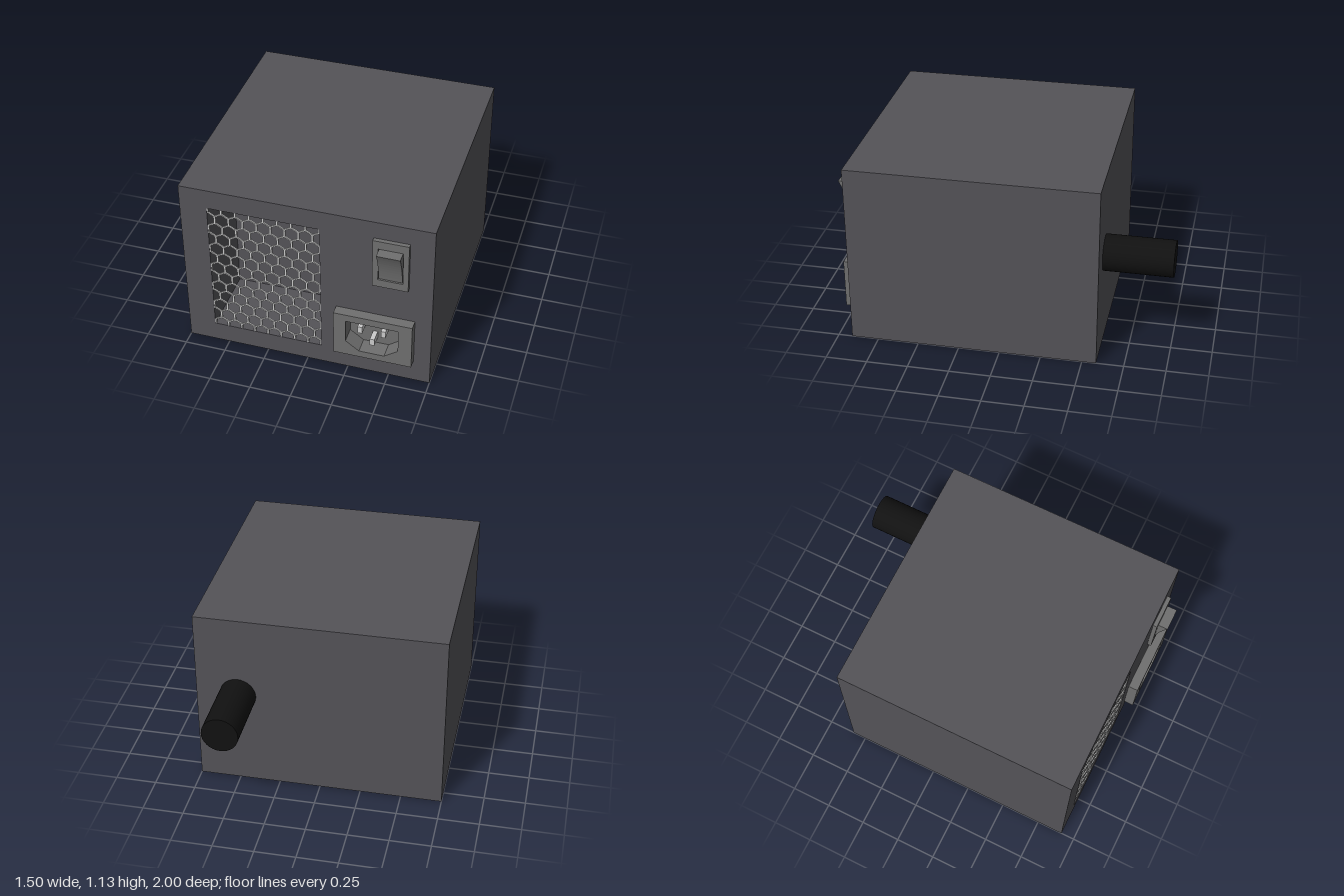
import * as THREE from 'three';

const mat = (color) => new THREE.MeshStandardMaterial({ color });
const caseMat = mat(0x545358), plateMat = mat(0x6f6f6f), metalMat = mat(0xcccccc), cableMat = mat(0x111111);

const FRONT = 0.915, BACK = -0.585, POCKET = 0.49; // z of case front, case back and vent pocket end
const vent = { x0: -0.585, x1: 0.085, y0: 0.125, y1: 1.005 };

const poly = (pts, Type = THREE.Shape) => new Type(pts.map(([x, y]) => new THREE.Vector2(x, y)));
const rect = (x0, x1, y0, y1) => [[x0, y0], [x1, y0], [x1, y1], [x0, y1]];

// Flat panel with openings, extruded from z0 to z1
function panel(outline, holes, z0, z1) {
  const shape = poly(outline);
  holes.forEach((h) => shape.holes.push(poly([...h].reverse(), THREE.Path)));
  const geo = new THREE.ExtrudeGeometry(shape, { depth: z1 - z0, bevelEnabled: false });
  return geo.translate(0, 0, z0);
}

const box = (x0, x1, y0, y1, z0, z1) => new THREE.BoxGeometry(x1 - x0, y1 - y0, z1 - z0)
  .translate((x0 + x1) / 2, (y0 + y1) / 2, (z0 + z1) / 2);

// Clip a segment to the vent rectangle; null when outside
function clip([ax, ay], [bx, by]) {
  let t0 = 0, t1 = 1;
  const dx = bx - ax, dy = by - ay;
  for (const [p, q] of [[-dx, ax - vent.x0], [dx, vent.x1 - ax], [-dy, ay - vent.y0], [dy, vent.y1 - ay]]) {
    if (Math.abs(p) < 1e-9) { if (q < -1e-6) return null; }
    else if (p < 0) t0 = Math.max(t0, q / p);
    else t1 = Math.min(t1, q / p);
  }
  if (t1 - t0 < 1e-3) return null;
  return [[ax + dx * t0, ay + dy * t0], [ax + dx * t1, ay + dy * t1]];
}

// Honeycomb of thin bars: each upright bar carries two slanted arms at its top
function honeycomb() {
  const grille = new THREE.Group();
  grille.name = 'ventGrille';
  const pitch = 0.0835, side = pitch / Math.sqrt(3), row = side * 1.5;
  const cx = (vent.x0 + vent.x1) / 2, cy = (vent.y0 + vent.y1) / 2;
  const addBar = (a, b, width) => {
    const seg = clip(a, b);
    if (!seg) return;
    const [[x0, y0], [x1, y1]] = seg;
    const bar = new THREE.Mesh(new THREE.BoxGeometry(Math.hypot(x1 - x0, y1 - y0) + 0.003, width, 0.01), metalMat);
    bar.position.set((x0 + x1) / 2, (y0 + y1) / 2, FRONT - 0.007);
    bar.rotation.z = Math.atan2(y1 - y0, x1 - x0);
    bar.name = 'grilleBar';
    grille.add(bar);
  };
  for (let j = -7; j <= 7; j++) {
    for (let i = -5; i <= 5; i++) {
      const x = cx + (i + (Math.abs(j) % 2) / 2) * pitch, y = cy + j * row;
      const top = [x, y + side / 2];
      addBar([x, y - side / 2], top, 0.012);
      addBar(top, [x - pitch / 2, y + side], 0.008);
      addBar(top, [x + pitch / 2, y + side], 0.008);
    }
  }
  return grille;
}

export function createModel() {
  const model = new THREE.Group();
  model.name = 'powerSupply';
  const add = (name, geo, material, parent = model) => {
    const mesh = new THREE.Mesh(geo, material);
    mesh.name = name;
    parent.add(mesh);
    return mesh;
  };

  // Case: pocketed front section and solid rear section
  add('caseFront', panel(rect(-0.75, 0.75, 0, 1.13), [
    rect(vent.x0, vent.x1, vent.y0, vent.y1),
    rect(0.2, 0.63, 0.17, 0.44),
    rect(0.42, 0.59, 0.72, 1.0),
  ], POCKET, FRONT), caseMat);
  add('caseRear', box(-0.75, 0.75, 0, 1.13, BACK, POCKET), caseMat);
  model.add(honeycomb());

  // Power inlet with chamfered recess and three pins
  const inlet = new THREE.Group();
  inlet.name = 'powerInlet';
  model.add(inlet);
  const recess = [[0.335, 0.2], [0.487, 0.2], [0.568, 0.26], [0.568, 0.413], [0.253, 0.413], [0.253, 0.26]];
  add('inletPlate', panel(rect(0.18, 0.65, 0.155, 0.46), [recess], 0.875, 0.975), plateMat, inlet);
  add('inletFloor', box(0.21, 0.62, 0.18, 0.43, 0.86, 0.875), plateMat, inlet);
  for (const [x, y] of [[0.333, 0.342], [0.473, 0.342], [0.407, 0.265]]) {
    add('inletPin', box(x - 0.014, x + 0.014, y - 0.023, y + 0.023, 0.87, 0.95), metalMat, inlet);
  }

  // Rocker switch: framed plate with a concave rocker
  const power = new THREE.Group();
  power.name = 'powerSwitch';
  model.add(power);
  add('switchPlate', panel(rect(0.4, 0.61, 0.695, 1.02), [rect(0.433, 0.578, 0.745, 0.967)], 0.9, 0.94), plateMat, power);
  add('switchFloor', box(0.425, 0.585, 0.725, 0.99, 0.885, 0.9), plateMat, power);
  // Profile drawn as (z, y), then turned so its first axis points forward
  const profile = new THREE.Shape();
  profile.moveTo(0.89, 0.75);
  profile.lineTo(0.935, 0.75);
  profile.quadraticCurveTo(0.95, 0.87, 1.0, 0.964);
  profile.lineTo(0.89, 0.964);
  const rocker = new THREE.ExtrudeGeometry(profile, { depth: 0.138, bevelEnabled: false, curveSegments: 10 });
  rocker.rotateY(-Math.PI / 2).translate(0.575, 0, 0);
  add('switchRocker', rocker, plateMat, power);

  // Cable stub at the back
  const cable = new THREE.CylinderGeometry(0.11, 0.11, 0.43, 32).rotateX(Math.PI / 2);
  add('cable', cable.translate(0.495, 0.615, -0.785), cableMat);

  return model;
}
